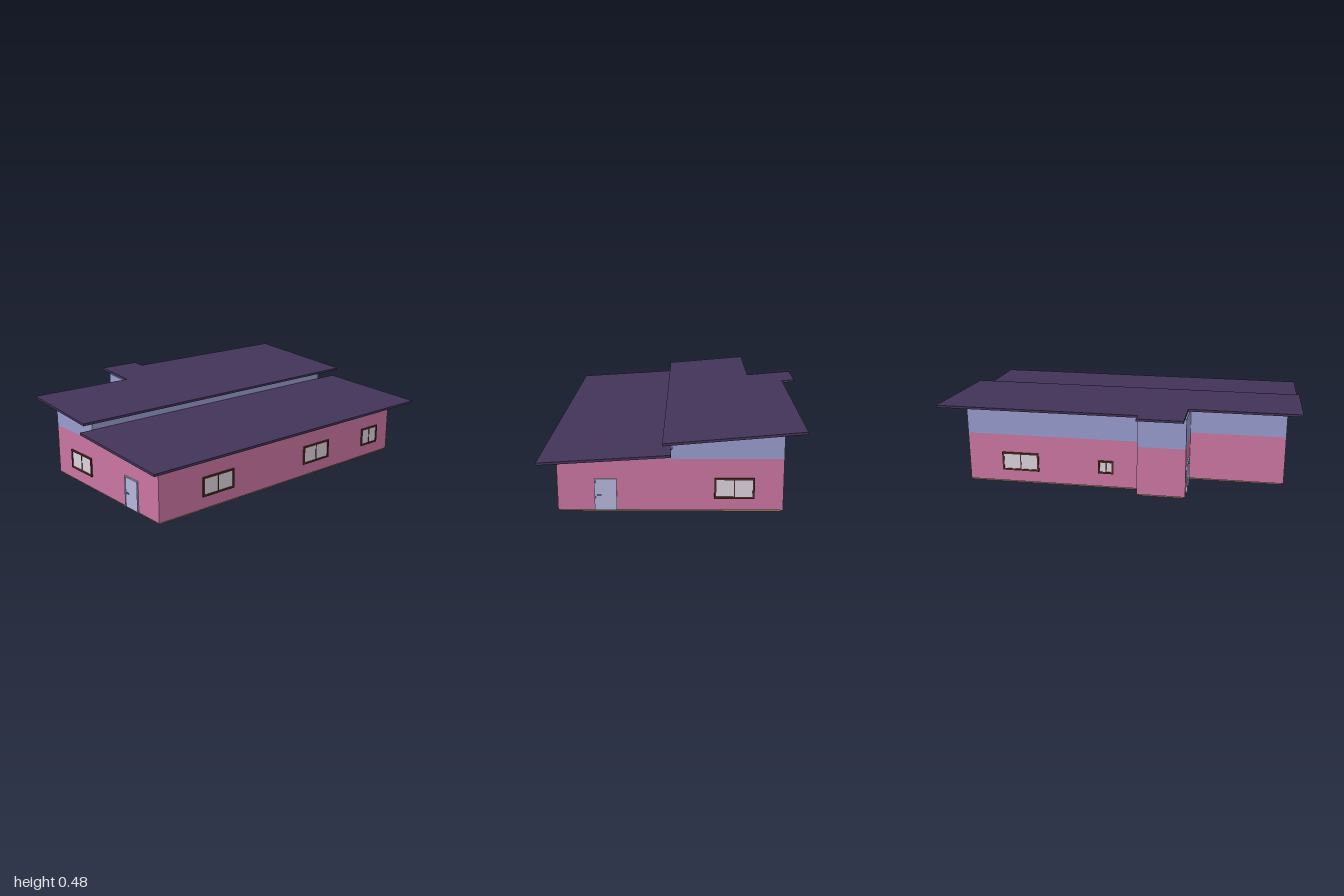
import * as THREE from 'three';

const mat = (color) => new THREE.MeshStandardMaterial({ color, flatShading: true });
const PINK = mat(0xcc76a2), BLUE = mat(0x989dce), ROOF = mat(0x423459), FLOOR = mat(0x8f7d5a);
const FRAME = mat(0x4d2a24), GLASS = mat(0xddd3dd), DOOR = mat(0xb6b6de), METAL = mat(0x77798f);

// Undersides of the two sloping roofs
const lowRoof = (z) => 0.299 + (0.708 - z) * 0.063;
const highRoof = (z) => 0.4 + (0.08 - z) * 0.087;

// Solid over an [x, z] footprint, between two heights given as functions of z
function prism(name, points, bottom, top, material) {
  const shape = new THREE.Shape(points.map(([x, z]) => new THREE.Vector2(x, -z)));
  const geo = new THREE.ExtrudeGeometry(shape, { depth: 1, bevelEnabled: false });
  geo.rotateX(-Math.PI / 2);
  const p = geo.attributes.position;
  for (let i = 0; i < p.count; i++) {
    const z = p.getZ(i);
    p.setY(i, p.getY(i) > 0.5 ? top(z) : bottom(z));
  }
  geo.computeVertexNormals();
  const mesh = new THREE.Mesh(geo, material);
  mesh.name = name;
  return mesh;
}

function box(name, w, h, d, x, y, z, material) {
  const mesh = new THREE.Mesh(new THREE.BoxGeometry(w, h, d), material);
  mesh.position.set(x, y, z);
  mesh.name = name;
  return mesh;
}

// Two-pane window facing +z
function makeWindow(w, h) {
  const g = new THREE.Group();
  const t = 0.01, d = 0.014;
  g.name = 'window';
  for (const s of [-1, 1]) {
    g.add(box('frameSide', t, h, d, s * (w - t) / 2, 0, 0, FRAME));
    g.add(box('frameRail', w - 2 * t, t, d, 0, s * (h - t) / 2, 0, FRAME));
  }
  g.add(box('mullion', 0.005, h - 2 * t, 0.01, 0, 0, 0, FRAME));
  g.add(box('glass', w - 2 * t, h - 2 * t, 0.005, 0, 0, 0, GLASS));
  return g;
}

// Door facing +z, with a thin surround and a lever handle
function makeDoor(w, h) {
  const g = new THREE.Group();
  const t = 0.006;
  g.name = 'door';
  for (const s of [-1, 1]) g.add(box('jamb', t, h, 0.014, s * (w - t) / 2, 0, 0, DOOR));
  g.add(box('lintel', w - 2 * t, t, 0.014, 0, (h - t) / 2, 0, DOOR));
  g.add(box('leaf', w - 2 * t, h - t, 0.007, 0, -t / 2, 0, DOOR));
  g.add(box('handle', 0.022, 0.006, 0.006, -w / 2 + 0.025, -0.005, 0.006, METAL));
  return g;
}

export function createModel() {
  const house = new THREE.Group();
  house.name = 'house';

  const L = -0.92, R = 0.86, F = 0.627, B = -0.54;
  const porchL = -0.385, porchR = -0.118, porchB = -0.617, recess = -0.345;

  // Stepped plan, with a front edge and an inset
  const plan = (front, e = 0) => [
    [L + e, front - e], [R - e, front - e], [R - e, B + e], [porchR - e, B + e],
    [porchR - e, porchB + e], [porchL + e, porchB + e], [porchL + e, recess + e], [L + e, recess + e],
  ];

  // Floor and walls
  house.add(prism('floor', plan(F, 0.008), () => 0, () => 0.01, FLOOR));
  house.add(prism('lowerWalls', plan(F), () => 0.01, () => 0.29, PINK));
  house.add(prism('frontUpperWalls', [[L, F], [R, F], [R, 0.033], [L, 0.033]], () => 0.29, lowRoof, BLUE));
  house.add(prism('rearUpperWalls', plan(0.033), () => 0.29, highRoof, BLUE));

  // Roofs
  const t = 0.013;
  house.add(prism('frontRoof', [[-1, 0.706], [1, 0.706], [1, 0.038], [-1, 0.038]],
    lowRoof, (z) => lowRoof(z) + t, ROOF));
  house.add(prism('rearRoof', [
    [-1, 0.08], [1, 0.08], [1, -0.633], [-0.126, -0.633],
    [-0.126, -0.707], [-0.377, -0.707], [-0.377, -0.435], [-1, -0.435],
  ], highRoof, (z) => highRoof(z) + t, ROOF));

  // Openings: [type, width, height, x, y, z, heading]
  const q = Math.PI / 2;
  const openings = [
    [makeWindow, 0.212, 0.108, -0.537, 0.131, F, 0],
    [makeWindow, 0.21, 0.108, 0.205, 0.131, F, 0],
    [makeWindow, 0.145, 0.108, 0.682, 0.131, F, 0],
    [makeWindow, 0.208, 0.112, R, 0.131, -0.287, q],
    [makeDoor, 0.115, 0.172, R, 0.096, 0.378, q],
    [makeWindow, 0.212, 0.108, 0.56, 0.131, B, 2 * q],
    [makeWindow, 0.088, 0.076, 0.068, 0.128, B, 2 * q],
    [makeWindow, 0.21, 0.108, L, 0.131, -0.09, -q],
    [makeDoor, 0.115, 0.172, L, 0.096, 0.395, -q],
    [makeDoor, 0.115, 0.172, porchL, 0.096, -0.493, -q],
  ];
  for (const [make, w, h, x, y, z, heading] of openings) {
    const part = make(w, h);
    part.position.set(x, y, z);
    part.rotation.y = heading;
    house.add(part);
  }
  return house;
}
